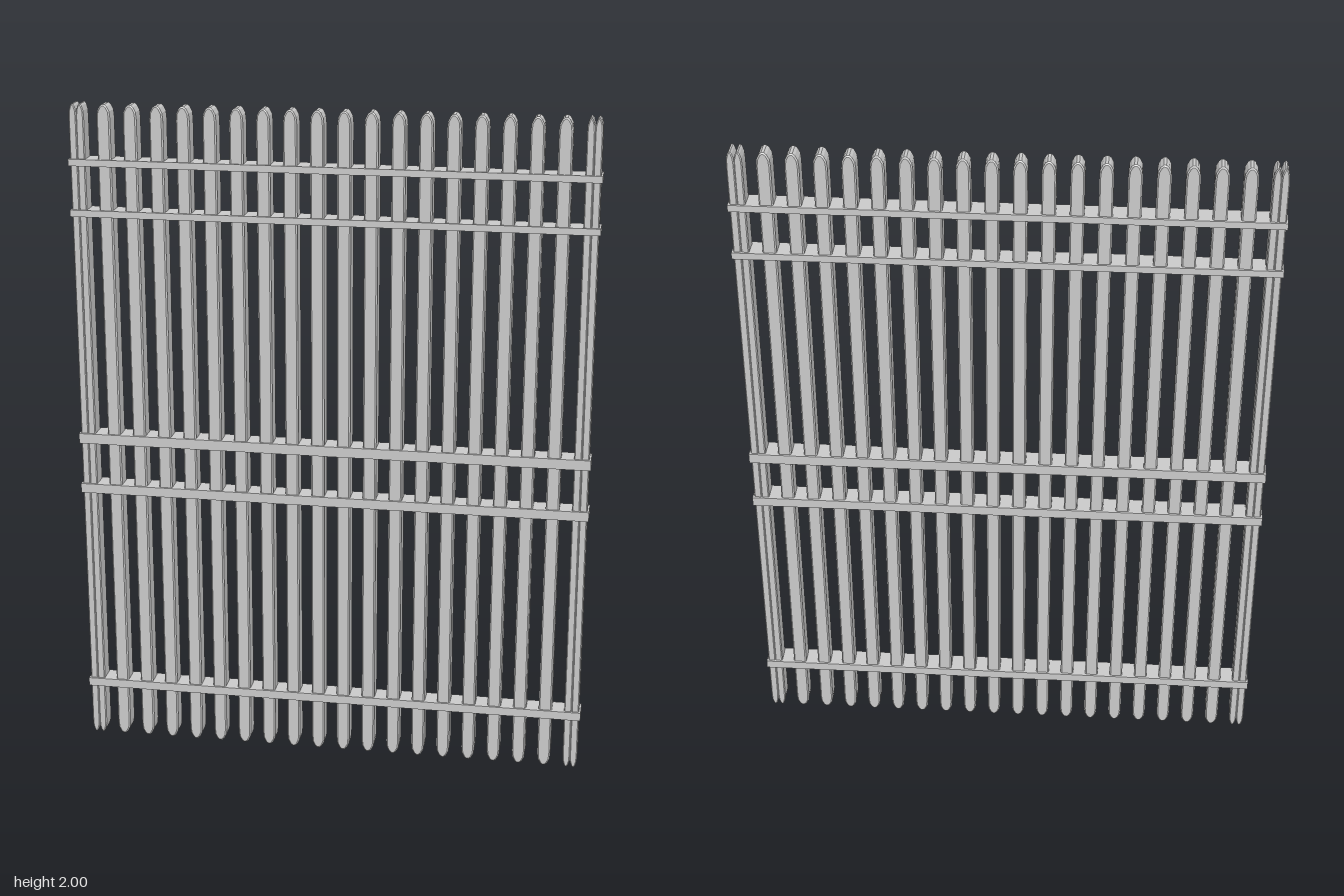
import * as THREE from 'three';

const material = new THREE.MeshStandardMaterial({ color: 0xcccccc, flatShading: true });

// Vertical bar: bullet outline at both ends, chamfered front and back edges
function barGeometry(width, depth, height, chamfer) {
  const w = width / 2, tip = 0.04;
  const side = [[w, tip], [w * 0.9, tip * 0.5], [w * 0.55, tip * 0.15], [w * 0.2, 0]];
  const right = [...side.map(([x, y]) => [x, y]).reverse(), ...side.map(([x, y]) => [x, height - y])];
  const left = right.map(([x, y]) => [-x, y]).reverse();
  const shape = new THREE.Shape([...right, ...left].map(([x, y]) => new THREE.Vector2(x, y)));
  const geometry = new THREE.ExtrudeGeometry(shape, {
    depth: depth - 2 * chamfer, bevelEnabled: true, bevelSegments: 1,
    bevelThickness: chamfer, bevelSize: chamfer, bevelOffset: -chamfer,
  });
  return geometry.translate(0, 0, -depth / 2 + chamfer);
}

export function createModel() {
  const group = new THREE.Group();
  const add = (name, geometry, x, y) => {
    const mesh = new THREE.Mesh(geometry, material);
    mesh.name = name;
    mesh.position.set(x, y, 0);
    group.add(mesh);
  };

  // Evenly spaced upright bars
  const bar = barGeometry(0.04, 0.056, 2, 0.004);
  const count = 18, spacing = 0.0782;
  for (let i = 0; i < count; i++) add('uprightBar', bar, (i - (count - 1) / 2) * spacing, 0);

  // Each end post is a pair of slimmer bars
  const slim = barGeometry(0.023, 0.056, 2, 0.003);
  for (const s of [-1, 1]) {
    add('endPostOuter', slim, s * 0.756, 0);
    add('endPostInner', slim, s * 0.734, 0);
  }

  // Horizontal rails: [centre height, thickness]
  const rails = [[1.83, 0.02], [1.68, 0.02], [0.985, 0.031], [0.825, 0.029], [0.175, 0.026]];
  for (const [y, h] of rails) add('rail', new THREE.BoxGeometry(1.545, h, 0.069), 0, y);

  return group;
}
